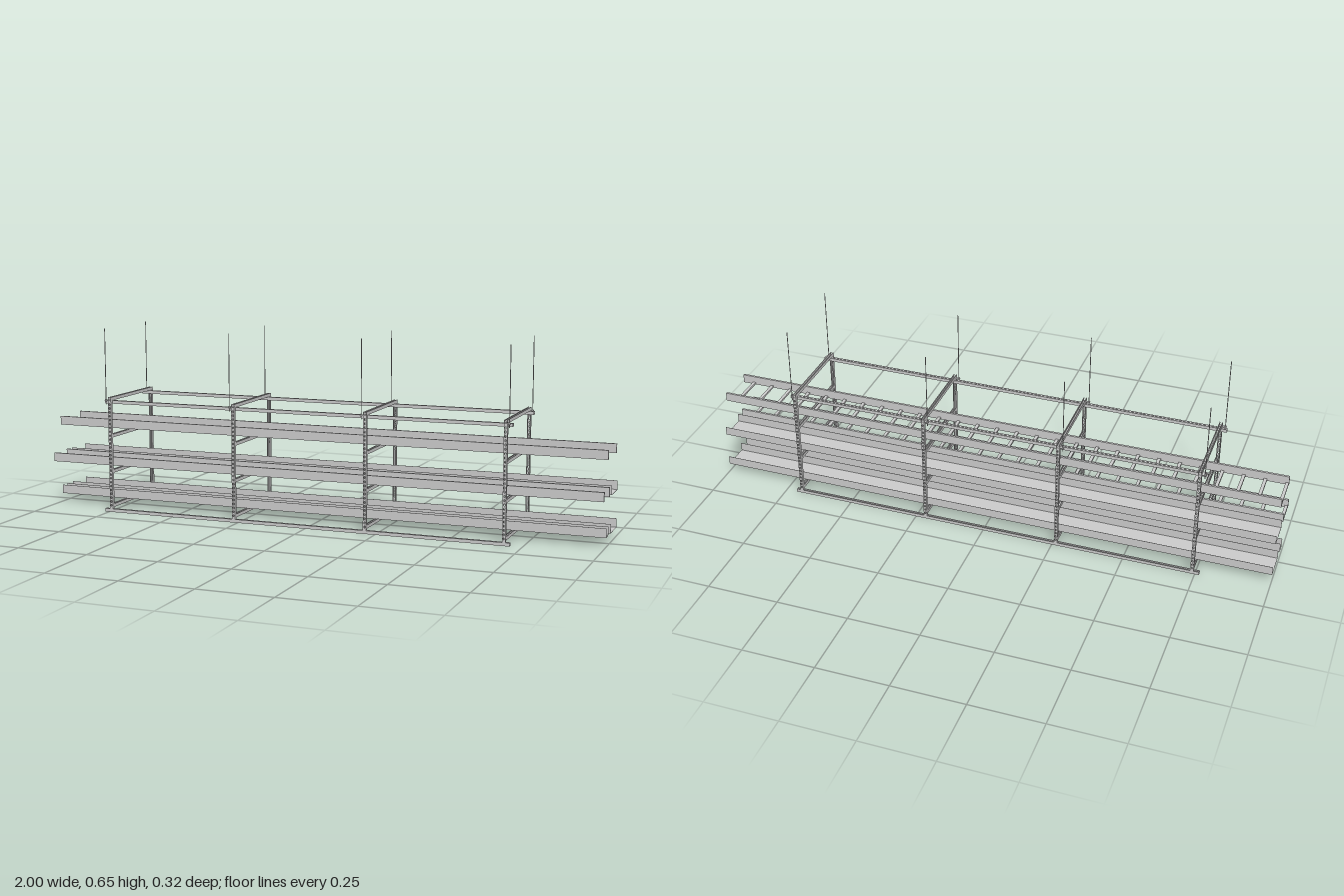
import * as THREE from 'three';
import { mergeGeometries } from 'three/addons/utils/BufferGeometryUtils.js';

const W = 0.0115, T = 0.0009; // strut width and sheet thickness
const metal = new THREE.MeshStandardMaterial({ color: 0xcccccc, flatShading: true, side: THREE.DoubleSide });

// Slotted, lipped C-channel running along z, open towards +y
function strutGeometry(length) {
  const h = W / 2, lip = W * 0.24;
  const back = new THREE.Shape([[-h, -length / 2], [h, -length / 2], [h, length / 2], [-h, length / 2]]
    .map(p => new THREE.Vector2(...p)));
  const pitch = 0.0139, count = Math.floor(length / pitch);
  for (let i = 0; i < count; i++) {
    const y = (i - (count - 1) / 2) * pitch;
    const slot = [[-0.0019, -0.0024], [0, -0.0039], [0.0019, -0.0024], [0.0019, 0.0024], [0, 0.0039], [-0.0019, 0.0024]];
    back.holes.push(new THREE.Path(slot.map(p => new THREE.Vector2(p[0], p[1] + y))));
  }
  const plate = new THREE.ExtrudeGeometry(back, { depth: T, bevelEnabled: false });
  plate.rotateX(-Math.PI / 2).translate(0, -h, 0);
  const walls = [1, -1].map(s => {
    const pts = [[h, -h], [h, h], [h - lip, h], [h - lip, h - lip], [h - lip + T, h - lip],
      [h - lip + T, h - T], [h - T, h - T], [h - T, -h]];
    const shape = new THREE.Shape(pts.map(p => new THREE.Vector2(s * p[0], p[1])));
    return new THREE.ExtrudeGeometry(shape, { depth: length, bevelEnabled: false }).translate(0, 0, -length / 2);
  });
  return mergeGeometries([plate, ...walls]);
}

export function createModel() {
  const model = new THREE.Group();

  function add(parent, name, geometry, x = 0, y = 0, z = 0) {
    const mesh = new THREE.Mesh(geometry, metal);
    mesh.name = name;
    mesh.position.set(x, y, z);
    parent.add(mesh);
    return mesh;
  }
  const box = (parent, name, x0, x1, y0, y1, z0, z1) =>
    add(parent, name, new THREE.BoxGeometry(x1 - x0, y1 - y0, z1 - z0), (x0 + x1) / 2, (y0 + y1) / 2, (z0 + z1) / 2);

  // Support frame
  const frame = new THREE.Group();
  frame.name = 'supportFrame';
  model.add(frame);
  const railGeo = strutGeometry(1.475);
  const postGeo = strutGeometry(0.389);
  const topBeamGeo = strutGeometry(0.316);
  const beamGeo = strutGeometry(0.293);
  const rodGeo = new THREE.CylinderGeometry(0.0014, 0.0014, 0.267, 8);
  const nutGeo = new THREE.CylinderGeometry(0.0033, 0.0033, 0.003, 6);
  const frameX = [-0.74, -0.264, 0.214, 0.69];
  const rodX = [-0.756, -0.279, 0.199, 0.701];

  for (const s of [1, -1]) {
    add(frame, 'bottomRail', railGeo, -0.0275, 0.006, s * 0.152).rotation.y = Math.PI / 2;
    add(frame, 'topRail', railGeo, -0.0275, 0.393, s * 0.14).rotation.set(Math.PI, Math.PI / 2, 0);
  }

  frameX.forEach((x, i) => {
    add(frame, 'topBeam', topBeamGeo, x, 0.405, 0);
    for (const y of [0.023, 0.146, 0.273]) add(frame, 'trayBeam', beamGeo, x, y, 0);
    for (const s of [1, -1]) {
      add(frame, 'post', postGeo, x, 0.205, s * 0.1525).rotation.x = -s * Math.PI / 2;
      // Hanger rod with its small bracket and nuts
      add(frame, 'hangerRod', rodGeo, rodX[i], 0.5185, s * 0.152);
      const x0 = Math.min(x, rodX[i] - 0.004), x1 = Math.max(x, rodX[i] + 0.004);
      box(frame, 'rodBracket', x0, x1, 0.3985, 0.3998, s * 0.152 - 0.005, s * 0.152 + 0.005);
      for (const y of [0.3965, 0.4015]) add(frame, 'rodNut', nutGeo, rodX[i], y, s * 0.152);
    }
  });

  // Cable ladders: two side rails joined by rungs
  function ladder(name, y, z0, z1) {
    const group = new THREE.Group();
    group.name = name;
    model.add(group);
    const rail = 0.0075;
    box(group, 'sideRail', -1, 1, y, y + 0.031, z0, z0 + rail);
    box(group, 'sideRail', -1, 1, y, y + 0.031, z1 - rail, z1);
    for (let i = 0; i < 28; i++) {
      const x = -0.994 + i * 0.0723;
      box(group, 'rung', x - 0.0055, x + 0.0055, y + 0.001, y + 0.008, z0 + rail, z1 - rail);
    }
  }
  ladder('upperLadder', 0.285, -0.0875, 0.056);
  ladder('middleLadder', 0.158, 0.0125, 0.107);

  // Sheet trays: thin U-shaped channels
  function tray(name, y, z0, z1) {
    const group = new THREE.Group();
    group.name = name;
    model.add(group);
    const t = 0.0009;
    box(group, 'trayFloor', -1, 1, y, y + t, z0, z1);
    box(group, 'traySide', -1, 1, y + t, y + 0.031, z0, z0 + t);
    box(group, 'traySide', -1, 1, y + t, y + 0.031, z1 - t, z1);
  }
  tray('middleTray', 0.157, -0.115, -0.019);
  tray('bottomWideTray', 0.03, -0.115, -0.019);
  tray('bottomNarrowTray', 0.03, 0.021, 0.0525);

  return model;
}
